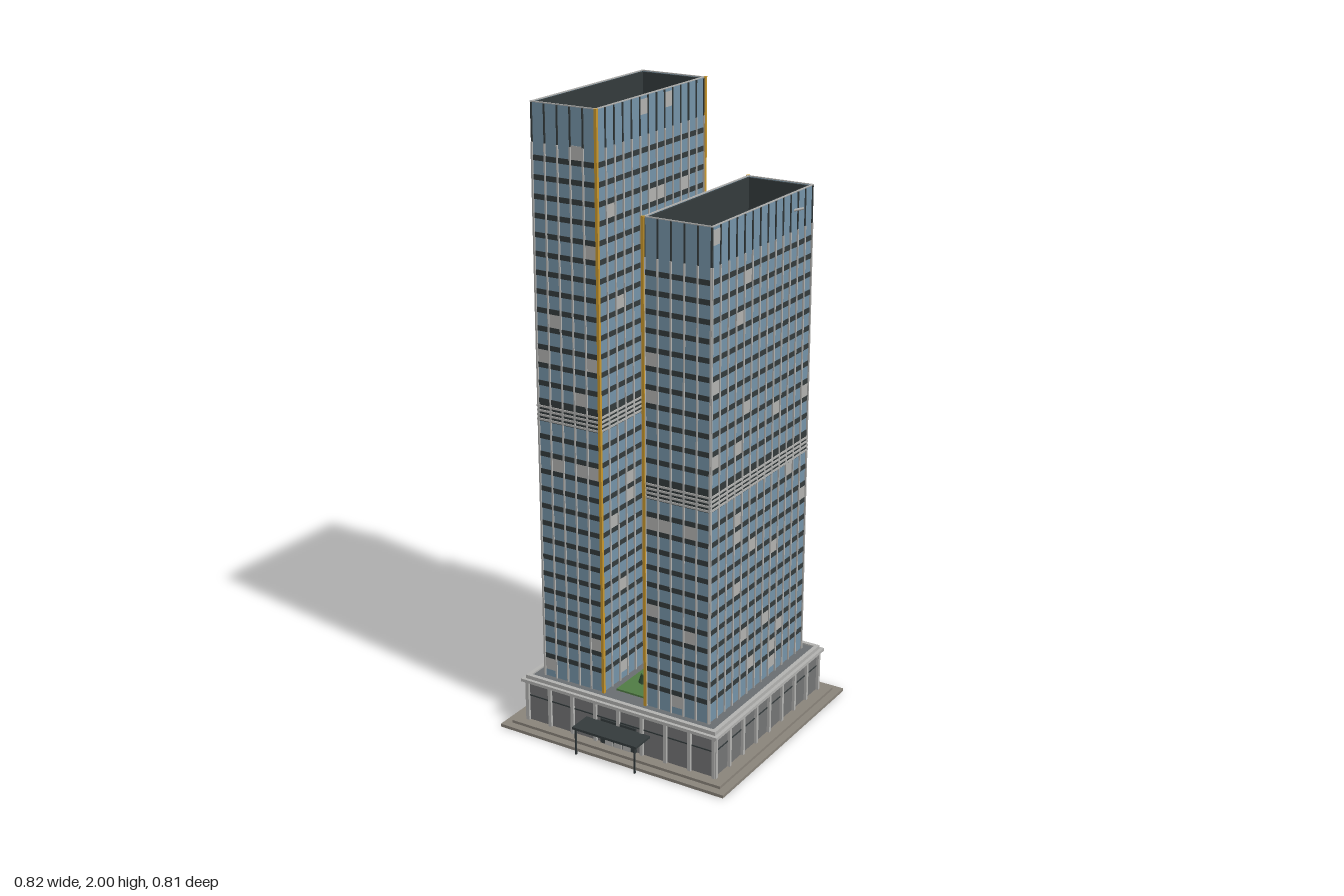
import * as THREE from 'three';
import { mergeGeometries } from 'three/addons/utils/BufferGeometryUtils.js';

const mat = (name, color) => {
  const m = new THREE.MeshStandardMaterial({ color });
  m.name = name;
  return m;
};
const M = {
  glass: mat('blue glass', 0x7593a8),
  dark: mat('dark metal', 0x343b3c),
  light: mat('light concrete', 0xb2b2b0),
  deck: mat('roof grey', 0x696e71),
  wall: mat('podium panel grey', 0x737475),
  paving: mat('paving', 0x8a847b),
  gold: mat('gold trim', 0xc9982e),
  lawn: mat('lawn green', 0x507c44),
  hedge: mat('hedge green', 0x2c4a30),
};

let seed = 7;
const rand = () => (seed = (seed * 16807) % 2147483647) / 2147483647;

// box with its base at y
const box = (w, h, d, x, y, z) => new THREE.BoxGeometry(w, h, d).translate(x, y + h / 2, z);
function add(group, name, material, geos) {
  const mesh = new THREE.Mesh(mergeGeometries([].concat(geos)), material);
  mesh.name = name;
  group.add(mesh);
  return mesh;
}
// square ring: outer half sizes hx, hz and wall thickness t
const ring = (hx, hz, t, y, h) => [-1, 1].flatMap((s) => [
  box(2 * hx, h, t, 0, y, s * (hz - t / 2)),
  box(t, h, 2 * (hz - t), s * (hx - t / 2), y, 0),
]);
// box on one of four facades: u runs along the facade, out is the projection
function onFacade(side, hx, hz, u, y, w, h, out) {
  const dist = side % 2 ? hx : hz;
  return new THREE.BoxGeometry(w, h, out)
    .translate(u, y + h / 2, dist + out / 2).rotateY(side * Math.PI / 2);
}

const BASE = 0.172, FLOOR = 0.0569, HX = 0.11, HZ = 0.293, CROWN = 0.118;

function tower(name, x, floors, mechFloor, top) {
  const g = new THREE.Group();
  g.name = name;
  g.position.x = x;
  const crown = top - CROWN;
  const y0 = crown - floors * FLOOR;
  add(g, 'glassCore', M.glass, box(2 * HX, crown - BASE, 2 * HZ, 0, BASE, 0));

  // dark floor bands, and louvres on the plant floor
  const bands = [], louvres = [];
  for (let f = 1; f < floors; f++) {
    const y = y0 + f * FLOOR;
    bands.push(box(2 * HX + 0.004, f === mechFloor ? FLOOR : 0.016, 2 * HZ + 0.004, 0, y + 0.004, 0));
    if (f === mechFloor)
      for (let i = 0; i < 4; i++) louvres.push(box(2 * HX + 0.01, 0.006, 2 * HZ + 0.01, 0, y + 0.007 + i * 0.014, 0));
  }
  add(g, 'floorBands', M.dark, bands);
  add(g, 'louvres', M.light, louvres);

  // vertical fins, crown joints and scattered pale panes
  const fins = [], joints = [], panes = [];
  for (let side = 0; side < 4; side++) {
    const bays = side % 2 ? 13 : 5;
    const width = 2 * (side % 2 ? HZ : HX), bay = width / bays;
    for (let i = 0; i <= bays; i++) {
      const u = -width / 2 + i * bay;
      fins.push(onFacade(side, HX, HZ, u, BASE, 0.005, crown - BASE, 0.005));
      joints.push(onFacade(side, HX, HZ, u, crown, 0.005, CROWN - 0.004, 0.003));
      if (i === bays) break;
      for (let f = 0; f < floors; f++) {
        if (f === mechFloor || rand() > 0.065) continue;
        panes.push(onFacade(side, HX, HZ, u + bay / 2, y0 + f * FLOOR + 0.02, bay - 0.005, FLOOR - 0.016, 0.001));
      }
      if (rand() < 0.1)
        panes.push(onFacade(side, HX, HZ, u + bay / 2, crown + 0.06, bay - 0.005, 0.045, 0.001));
    }
  }
  add(g, 'fins', M.light, fins);
  add(g, 'crownJoints', M.dark, joints);
  add(g, 'palePanes', M.light, panes);

  // hollow crown around the roof
  add(g, 'crownGlass', M.glass, ring(HX, HZ, 0.004, crown, CROWN - 0.003));
  add(g, 'crownCoping', M.light, ring(HX + 0.003, HZ + 0.003, 0.005, top - 0.003, 0.003));
  add(g, 'parapet', M.dark, ring(HX - 0.004, HZ - 0.008, 0.008, crown, CROWN - 0.003));
  add(g, 'roofDeck', M.deck, box(2 * HX - 0.008, 0.008, 2 * HZ - 0.008, 0, crown, 0));

  // gold corner strips facing the other tower
  add(g, 'goldStrips', M.gold, [-1, 1].map((s) =>
    box(0.009, top - BASE, 0.009, -Math.sign(x) * (HX + 0.003), BASE, s * (HZ + 0.004))));
  return g;
}

// roof plant: [x, z, width, depth, fan radius]
function roofUnits(group, y, units) {
  add(group, 'coolingUnits', M.light, units.map(([x, z, w, d]) => box(w, 0.028, d, x, y, z)));
  add(group, 'coolingFans', M.dark, units.map(([x, z, , , r]) =>
    new THREE.CylinderGeometry(r, r, 0.008, 14).translate(x, y + 0.032, z)));
}

export function createModel() {
  const model = new THREE.Group();
  const site = new THREE.Group();
  site.name = 'twinTowers';
  site.position.z = -0.0125;
  model.add(site);

  // stepped paving
  add(site, 'paving', M.paving, [
    box(0.82, 0.01, 0.785, 0, 0, 0),
    box(0.768, 0.009, 0.733, 0, 0.01, 0),
  ]);

  // podium
  const px = 0.343, pz = 0.329;
  add(site, 'podium', M.wall, box(2 * px, 0.14, 2 * pz, 0, 0.017, 0));
  const pilasters = [], rails = [];
  for (let side = 0; side < 4; side++) {
    const w = 2 * (side % 2 ? pz : px);
    for (let i = 0; i <= 8; i++)
      pilasters.push(onFacade(side, px, pz, -w / 2 + i * w / 8, 0.017, 0.011, 0.14, 0.009));
    rails.push(onFacade(side, px, pz, 0, 0.104, w, 0.004, 0.002));
    rails.push(onFacade(side, px, pz, 0, 0.146, w, 0.009, 0.002));
  }
  add(site, 'podiumPilasters', M.light, pilasters);
  add(site, 'podiumRails', M.dark, rails);
  add(site, 'podiumCornice', M.light, [
    ...ring(0.359, 0.346, 0.03, 0.155, 0.01),
    ...ring(0.348, 0.335, 0.014, 0.165, 0.012),
  ]);
  add(site, 'podiumDeck', M.deck, box(0.67, 0.016, 0.644, 0, 0.156, 0));

  // entrance and canopy
  add(site, 'entranceSurround', M.dark, box(0.13, 0.085, 0.006, 0, 0.019, pz + 0.004));
  add(site, 'doors', M.light, [-1, 0, 1].map((i) => box(0.028, 0.04, 0.004, i * 0.032, 0.019, pz + 0.008)));
  add(site, 'doorHeader', M.gold, box(0.105, 0.009, 0.012, 0, 0.061, pz + 0.008));
  add(site, 'canopy', M.dark, [
    box(0.234, 0.008, 0.08, 0, 0.088, 0.3755),
    ...[-1, 1].map((s) => box(0.005, 0.088, 0.005, s * 0.108, 0, 0.409)),
  ]);

  // garden between the towers
  add(site, 'lawn', M.lawn, box(0.104, 0.008, 0.525, 0, 0.17, 0));
  const shrubs = [-0.1765, -0.059, 0.059, 0.1765];
  add(site, 'shrubs', M.hedge, shrubs.map((z) =>
    new THREE.CylinderGeometry(0.015, 0.024, 0.03, 8).translate(0, 0.191, z)));
  add(site, 'shrubTops', M.lawn, shrubs.map((z) =>
    new THREE.CylinderGeometry(0.013, 0.014, 0.003, 8).translate(0, 0.207, z)));

  // towers
  const tall = tower('tallTower', -0.19, 30, 15, 2);
  const short = tower('shortTower', 0.19, 25, 12, 1.715);
  site.add(tall, short);

  // roof plant
  const tallRoof = 2 - CROWN + 0.008, shortRoof = 1.715 - CROWN + 0.008;
  roofUnits(tall, tallRoof, [
    [-0.065, -0.137, 0.038, 0.032, 0.013],
    [0.025, -0.137, 0.03, 0.05, 0.013],
    [0.06, 0.086, 0.046, 0.03, 0.012],
  ]);
  add(tall, 'plantRoom', M.dark, box(0.062, 0.05, 0.153, -0.001, tallRoof, -0.001));
  add(tall, 'roofPipe', M.light, box(0.104, 0.012, 0.01, -0.002, tallRoof, 0.124));
  roofUnits(short, shortRoof, [
    [0.018, -0.051, 0.045, 0.045, 0.018],
    [0.06, -0.025, 0.04, 0.028, 0.012],
    [0.052, 0.01, 0.044, 0.055, 0.018],
  ]);
  add(short, 'roofPipe', M.light, box(0.104, 0.012, 0.01, 0, shortRoof, 0.124));

  // window-cleaning crane
  add(short, 'craneBase', M.light, [
    box(0.034, 0.018, 0.022, 0.055, shortRoof, -0.148),
    box(0.01, 0.035, 0.01, 0.055, shortRoof + 0.012, -0.148),
  ]);
  const from = new THREE.Vector3(0.055, 1.645, -0.148), to = new THREE.Vector3(0.133, 1.664, -0.198);
  add(short, 'craneArm', M.light,
    new THREE.TubeGeometry(new THREE.LineCurve3(from, to), 1, 0.004, 6));

  // sky bridges
  for (const y of [0.74, 1.2]) {
    add(site, 'skyBridge', M.wall, box(0.16, 0.1, 0.126, 0, y + 0.004, 0));
    add(site, 'skyBridgeSlabs', M.light, [
      box(0.154, 0.006, 0.134, 0, y + 0.101, 0),
      box(0.154, 0.005, 0.134, 0, y, 0),
    ]);
  }
  return model;
}
